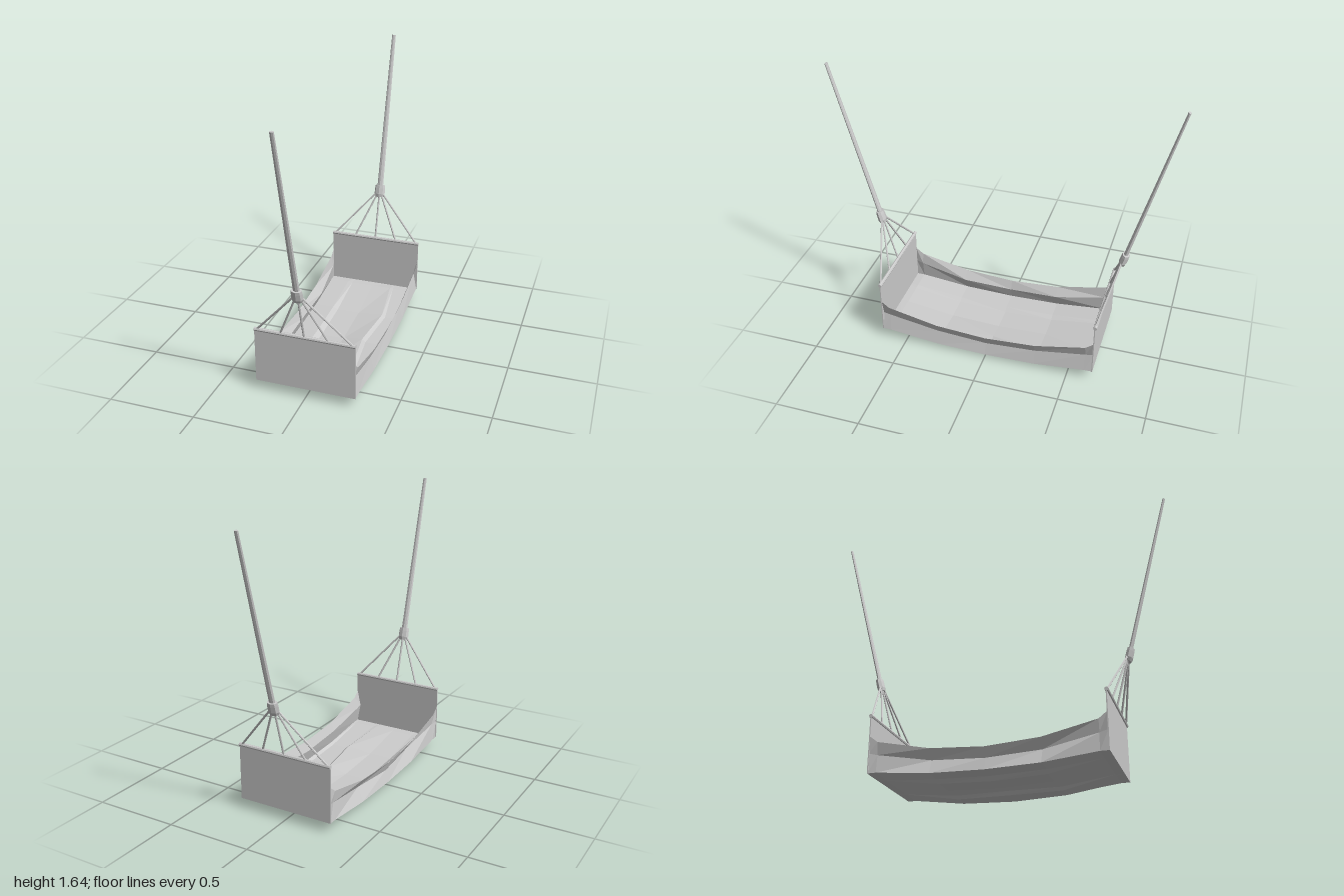
import * as THREE from 'three';

const cloth = new THREE.MeshStandardMaterial({ color: 0xcccccc, flatShading: true, side: THREE.DoubleSide });
const cord = new THREE.MeshStandardMaterial({ color: 0xcccccc, flatShading: true });

function add(parent, name, geometry, material) {
  const mesh = new THREE.Mesh(geometry, material);
  mesh.name = name;
  parent.add(mesh);
  return mesh;
}

// Tapered rod between two points; flat squashes its depth
function rod(parent, name, a, b, r0, r1, sides = 8, flat = 1) {
  const from = new THREE.Vector3(...a), to = new THREE.Vector3(...b);
  const dir = to.clone().sub(from);
  const mesh = add(parent, name, new THREE.CylinderGeometry(r1, r0, dir.length(), sides), cord);
  mesh.position.copy(from).add(to).multiplyScalar(0.5);
  mesh.quaternion.setFromUnitVectors(new THREE.Vector3(0, 1, 0), dir.normalize());
  mesh.scale.z = flat;
  return mesh;
}

// Cross-section of the sagging cloth: side wall, uneven floor, side wall
function section({ z, rim, mid, base, sag, left, fold }) {
  return [
    [-0.286, rim], [left, mid], [-0.286, base + 0.02 * sag],
    [-0.17, base + 0.02 * sag], [-0.14, base], [0, base],
    [fold - 0.02, base + 0.02 * sag], [fold, base], [0.27, base],
    [0.286, base + 0.015 * sag], [0.265, mid], [0.286, rim],
  ].map(([x, y]) => [x, y, z]);
}

function clothGeometry() {
  const half = [
    { z: 0, rim: 0.145, mid: 0.09, base: 0.002, sag: 1, left: -0.265, fold: 0.14 },
    { z: 0.3, rim: 0.165, mid: 0.11, base: 0.014, sag: 0.8, left: -0.25, fold: 0.175 },
    { z: 0.6, rim: 0.23, mid: 0.16, base: 0.058, sag: 0.1, left: -0.275, fold: 0.14 },
    { z: 0.648, rim: 0.268, mid: 0.17, base: 0.06, sag: 0, left: -0.285, fold: 0.14 },
  ];
  const stations = [...half.slice(1).reverse().map((s) => ({ ...s, z: -s.z })), ...half];
  const rows = stations.map(section);
  const n = rows[0].length, index = [];
  for (let i = 0; i < rows.length - 1; i++) {
    for (let j = 0; j < n - 1; j++) {
      const a = i * n + j, b = a + n;
      index.push(a, b, a + 1, a + 1, b, b + 1);
    }
  }
  const g = new THREE.BufferGeometry();
  g.setAttribute('position', new THREE.Float32BufferAttribute(rows.flat(2), 3));
  g.setIndex(index);
  g.computeVertexNormals();
  return g;
}

// One hanging end, facing +z
function createEnd(name) {
  const end = new THREE.Group();
  end.name = name;
  const panel = add(end, 'endPanel', new THREE.BoxGeometry(0.576, 0.325, 0.006), cloth);
  panel.position.set(0, 0.2225, 0.647);
  rod(end, 'spreaderBar', [-0.288, 0.385, 0.648], [0.288, 0.385, 0.648], 0.011, 0.011);

  // Fan of cords gathered into the knot
  for (let i = -2; i <= 2; i++) {
    rod(end, 'fanCord', [i * 0.136, 0.387, 0.648], [i * 0.011, 0.67, 0.725], 0.006, 0.006, 6);
  }

  // Knot: a short barrel in line with the rope
  const profile = [[0, -0.038], [0.026, -0.038], [0.034, -0.018], [0.033, 0.02], [0.031, 0.038], [0, 0.038]];
  const knot = add(end, 'knot', new THREE.LatheGeometry(profile.map((p) => new THREE.Vector2(...p)), 8), cord);
  knot.position.set(0, 0.683, 0.734);
  knot.rotation.x = Math.atan2(0.25, 0.925);
  knot.scale.z = 0.68;

  rod(end, 'mainRope', [0, 0.69, 0.735], [0, 1.643, 0.99], 0.019, 0.012, 8, 0.65);
  return end;
}

export function createModel() {
  const model = new THREE.Group();
  model.name = 'hammock';
  add(model, 'clothBed', clothGeometry(), cloth);
  model.add(createEnd('frontEnd'));
  const back = createEnd('backEnd');
  back.rotation.y = Math.PI;
  model.add(back);
  return model;
}
